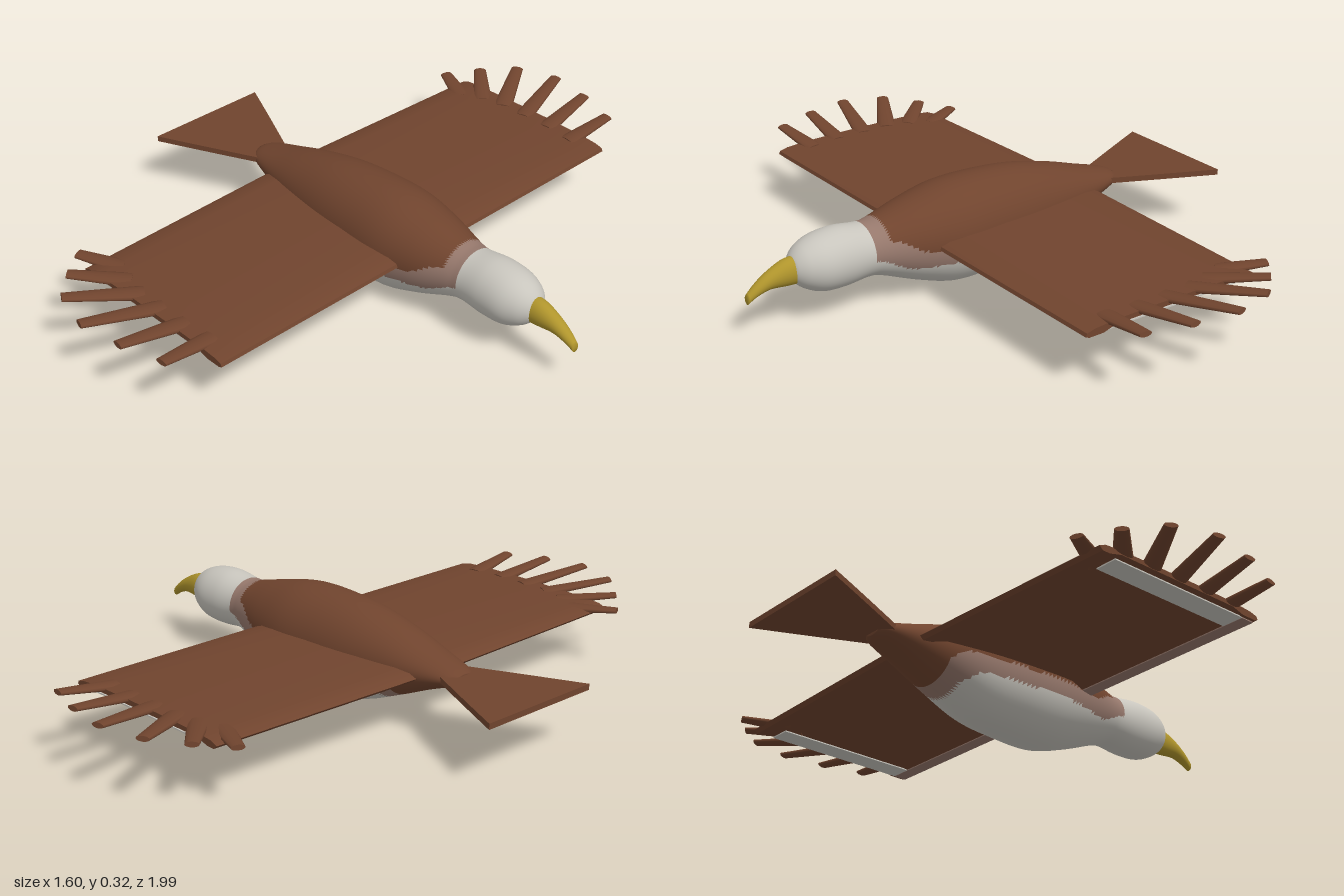
import * as THREE from 'three';
import { toCreasedNormals } from 'three/addons/utils/BufferGeometryUtils.js';

const flat = (name, color) => {
  const m = new THREE.MeshStandardMaterial({ color });
  m.name = name;
  return m;
};

// Smooth loft along x; stations are [x, top y, bottom y, half width].
// pick(x, y) returns the material index of a face.
function loft(stations, rows, sides, pick) {
  const path = (f) => new THREE.SplineCurve(stations.map((s) => new THREE.Vector2(s[0], f(s))));
  const top = path((s) => s[1]), bottom = path((s) => s[2]), half = path((s) => s[3]);
  const pos = [], faces = [[], [], []];
  for (let i = 0; i <= rows; i++) {
    const t = i / rows;
    const a = top.getPoint(t), b = bottom.getPoint(t).y, w = half.getPoint(t).y;
    for (let j = 0; j < sides; j++) {
      const g = (j / sides) * Math.PI * 2;
      pos.push(a.x, (a.y + b) / 2 + ((a.y - b) / 2) * Math.cos(g), w * Math.sin(g));
    }
  }
  const add = (...tri) => {
    const mid = (k) => tri.reduce((sum, v) => sum + pos[v * 3 + k], 0) / 3;
    faces[pick(mid(0), mid(1))].push(...tri);
  };
  for (let i = 0; i < rows; i++) {
    for (let j = 0; j < sides; j++) {
      const k = (j + 1) % sides, p = i * sides, q = p + sides;
      add(p + j, p + k, q + j);
      add(p + k, q + k, q + j);
    }
  }
  // End caps
  const first = stations[0], last = stations[stations.length - 1];
  const c = pos.length / 3, end = rows * sides;
  pos.push(first[0], (first[1] + first[2]) / 2, 0, last[0], (last[1] + last[2]) / 2, 0);
  for (let j = 0; j < sides; j++) {
    const k = (j + 1) % sides;
    add(c, k, j);
    add(c + 1, end + j, end + k);
  }
  const geo = new THREE.BufferGeometry();
  geo.setAttribute('position', new THREE.Float32BufferAttribute(pos, 3));
  geo.setIndex(faces.flat());
  let start = 0;
  faces.forEach((f, m) => {
    if (f.length) geo.addGroup(start, f.length, m);
    start += f.length;
  });
  geo.computeVertexNormals();
  return geo;
}

export function createModel() {
  const bird = new THREE.Group();
  bird.name = 'bird';
  const brown = flat('brown plumage', 0x70442e);
  const pale = flat('pale brown edge', 0x96786c);
  const white = flat('white plumage', 0xc8c5bd);
  const yellow = flat('beak yellow', 0xb0952c);
  const add = (name, geo, mat, parent = bird) => {
    const mesh = new THREE.Mesh(geo, mat);
    mesh.name = name;
    parent.add(mesh);
    return mesh;
  };

  // Body and head: brown back, white belly and head, pale band between
  const inside = (x, y, back, front, level) => {
    const rise = level + 0.05 * THREE.MathUtils.smoothstep(x, front - 0.13, front);
    const drop = 0.03 * (1 - THREE.MathUtils.smoothstep(x, back, back + 0.06));
    return x > front || (x > back && y < rise - drop);
  };
  const plumage = (x, y) =>
    inside(x, y, -0.25, 0.42, 0.116) ? 2 : inside(x, y, -0.31, 0.37, 0.166) ? 1 : 0;
  add('body', loft([
    [-0.52, 0.2, 0.172, 0.03], [-0.49, 0.213, 0.157, 0.058], [-0.4, 0.24, 0.122, 0.085],
    [-0.28, 0.277, 0.07, 0.113], [-0.14, 0.308, 0.017, 0.137], [0, 0.32, 0.003, 0.148],
    [0.13, 0.318, 0.003, 0.15], [0.25, 0.295, 0.038, 0.128], [0.37, 0.264, 0.085, 0.093],
    [0.42, 0.26, 0.094, 0.084], [0.5, 0.27, 0.087, 0.088], [0.57, 0.264, 0.091, 0.085],
    [0.62, 0.246, 0.112, 0.066], [0.65, 0.22, 0.138, 0.04], [0.66, 0.195, 0.16, 0.018],
  ], 120, 72, plumage), [brown, pale, white]);

  // Hooked beak
  add('beak', loft([
    [0.645, 0.218, 0.132, 0.034], [0.68, 0.214, 0.134, 0.031], [0.73, 0.192, 0.138, 0.024],
    [0.77, 0.166, 0.127, 0.018], [0.8, 0.14, 0.11, 0.012],
  ], 20, 24, () => 0), [yellow]);

  // Wings: one hollow-bellied section running through the body, tapering to the tips
  const section = new THREE.Shape([
    [0.232, 0.17], [0.228, 0.18], [0.2, 0.191], [0.14, 0.198], [0, 0.202], [-0.2, 0.2],
    [-0.34, 0.196], [-0.39, 0.189], [-0.412, 0.176], [-0.4, 0.165], [-0.375, 0.165],
    [-0.33, 0.177], [0.13, 0.177], [0.17, 0.165], [0.22, 0.165],
  ].map(([x, y]) => new THREE.Vector2(x, y)));
  const wing = new THREE.ExtrudeGeometry(section, { depth: 1.59, steps: 16, bevelEnabled: false });
  wing.translate(0, 0, -0.795);
  const p = wing.attributes.position;
  for (let i = 0; i < p.count; i++) {
    const t = Math.abs(p.getZ(i)) / 0.795;
    if (p.getX(i) < -0.3) p.setX(i, p.getX(i) + 0.025 * t);
    if (p.getY(i) > 0.18) p.setY(i, p.getY(i) - (p.getY(i) - 0.18) * 0.4 * t);
  }
  add('wings', toCreasedNormals(wing, 0.6), brown);

  // Flight feathers: [root x, root z, tip x, tip z]
  const feathers = [
    [0.125, 0.74, 0.14, 0.925], [0.025, 0.75, 0.005, 0.968], [-0.075, 0.75, -0.14, 0.99],
    [-0.165, 0.75, -0.28, 0.95], [-0.24, 0.735, -0.375, 0.865], [-0.31, 0.71, -0.45, 0.775],
  ];
  const lift = (z) => 0.18 + (z - 0.72) * 0.13;
  for (const side of [1, -1]) {
    const tip = new THREE.Group();
    tip.name = side > 0 ? 'leftWingtip' : 'rightWingtip';
    bird.add(tip);
    for (const [x0, z0, x1, z1] of feathers) {
      const a = new THREE.Vector3(x0, lift(z0), side * z0);
      const b = new THREE.Vector3(x1, lift(z1), side * z1);
      const along = b.clone().sub(a), length = along.length();
      along.normalize();
      const across = along.clone().cross(new THREE.Vector3(0, 1, 0)).normalize();
      const geo = new THREE.CylinderGeometry(0.02, 0.032, length, 12);
      geo.scale(1, 1, 0.4);
      geo.applyMatrix4(new THREE.Matrix4()
        .makeBasis(across, along, across.clone().cross(along))
        .setPosition(a.add(b).multiplyScalar(0.5)));
      add('feather', geo, brown, tip);
    }
    // Light markings under the tip and the leading edge
    add('tipStripe', new THREE.BoxGeometry(0.52, 0.004, 0.07), white, tip)
      .position.set(-0.06, 0.1645, side * 0.75);
    add('leadingStripe', new THREE.BoxGeometry(0.045, 0.004, 0.66), pale, tip)
      .position.set(0.2, 0.1635, side * 0.455);
  }

  // Fanned tail
  const fan = new THREE.Shape();
  fan.moveTo(-0.8, -0.207);
  fan.quadraticCurveTo(-0.64, -0.135, -0.46, -0.05);
  fan.lineTo(-0.46, 0.05);
  fan.quadraticCurveTo(-0.64, 0.135, -0.8, 0.207);
  fan.closePath();
  const tail = new THREE.ExtrudeGeometry(fan, { depth: 0.018, bevelEnabled: false });
  tail.rotateX(Math.PI / 2);
  tail.translate(0, 0.197, 0);
  add('tail', tail, brown);

  return bird;
}
